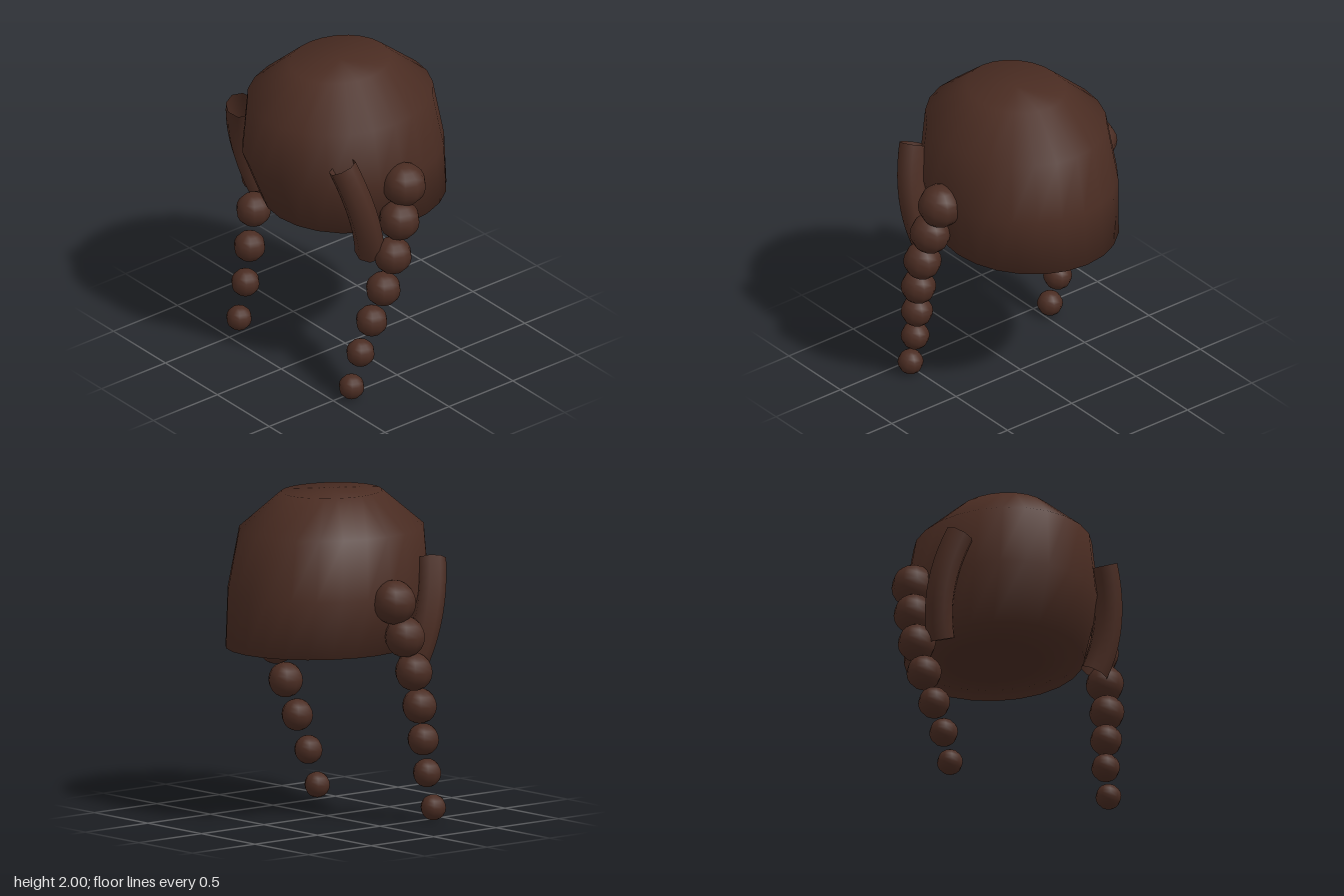
import * as THREE from 'three';

const hairBrown = new THREE.MeshStandardMaterial({ color: 0x4a2c22, side: THREE.DoubleSide });
hairBrown.name = 'hair brown';

// Rounded cap of hair: elliptical rings, flattened at crown and underside
function capGeometry() {
  const N = 24;
  // y, radius x, radius z, centre z
  const rings = [
    [2.0, 0.001, 0.001, 0.04],
    [2.0, 0.285, 0.325, 0.04],
    [1.78, 0.53, 0.59, 0.04],
    [1.41, 0.585, 0.637, 0.015],
    [1.06, 0.54, 0.58, -0.07],
    [1.06, 0.29, 0.31, -0.07],
    [1.06, 0.001, 0.001, -0.07],
  ];
  const pos = [], index = [];
  for (const [y, rx, rz, cz] of rings) {
    for (let i = 0; i < N; i++) {
      const a = (i / N) * Math.PI * 2;
      pos.push(Math.sin(a) * rx, y, cz + Math.cos(a) * rz);
    }
  }
  for (let r = 0; r < rings.length - 1; r++) {
    for (let i = 0; i < N; i++) {
      const a = r * N + i, b = r * N + (i + 1) % N;
      index.push(a, a + N, b, b, a + N, b + N);
    }
  }
  const geo = new THREE.BufferGeometry();
  geo.setAttribute('position', new THREE.Float32BufferAttribute(pos, 3));
  geo.setIndex(index);
  geo.computeVertexNormals();
  return geo;
}

function addMesh(parent, name, geo) {
  const mesh = new THREE.Mesh(geo, hairBrown);
  mesh.name = name;
  parent.add(mesh);
  return mesh;
}

export function createModel() {
  const model = new THREE.Group();
  model.name = 'braidedHair';
  addMesh(model, 'hairCap', capGeometry());

  // Braid beads, from ear to tip: x, y, z, radius
  const beads = [
    [0.602, 1.39, 0.027, 0.136],
    [0.63, 1.175, 0.087, 0.126],
    [0.643, 0.955, 0.148, 0.117],
    [0.625, 0.735, 0.209, 0.108],
    [0.588, 0.517, 0.27, 0.098],
    [0.554, 0.3, 0.33, 0.088],
    [0.542, 0.079, 0.39, 0.079],
  ];

  for (const side of [1, -1]) {
    const label = side > 0 ? 'left' : 'right';
    const braid = new THREE.Group();
    braid.name = label + 'Braid';
    beads.forEach(([x, y, z, r], i) => {
      addMesh(braid, 'braidBead' + (i + 1), new THREE.SphereGeometry(r, 10, 10))
        .position.set(side * x, y, z);
    });
    model.add(braid);

    // Loose lock in front of the ear: an open, gently bowed tube
    const path = new THREE.QuadraticBezierCurve3(
      new THREE.Vector3(side * 0.49, 1.6, 0.42),
      new THREE.Vector3(side * 0.63, 1.26, 0.325),
      new THREE.Vector3(side * 0.523, 0.965, 0.235),
    );
    addMesh(model, label + 'FrontLock', new THREE.TubeGeometry(path, 10, 0.09, 8, false));
  }
  return model;
}
